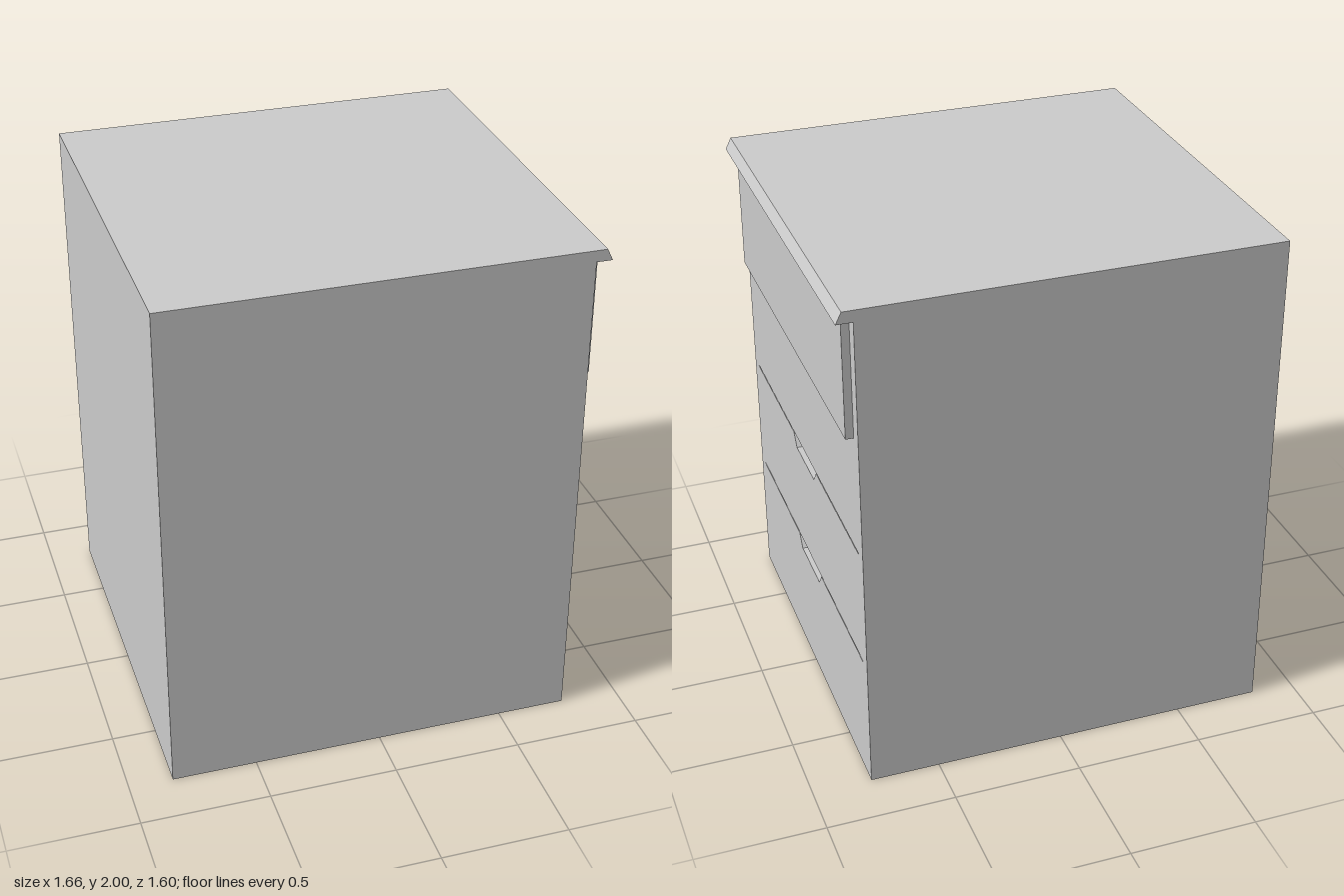
import * as THREE from 'three';

const FACE = 0.77, BACK = -0.83, HALF = 0.8, DRAWER = 0.745;
const POCKET = 0.12, GAP = 0.005, DROP = 0.055;
const drawerTops = [1.95, 1.475, 0.998, 0.521];
const grey = new THREE.MeshStandardMaterial({ color: 0xcccccc, flatShading: true });

function polygon(points) {
  return points.map(([a, b]) => new THREE.Vector2(a, b));
}

// Extrudes an upright outline (z across, y up) from x0 to x1
function panel(name, shape, x0, x1) {
  const geo = new THREE.ExtrudeGeometry(shape, { depth: x1 - x0, bevelEnabled: false });
  geo.rotateY(Math.PI / 2).translate(x0, 0, 0);
  const mesh = new THREE.Mesh(geo, grey);
  mesh.name = name;
  return mesh;
}

export function createModel() {
  const group = new THREE.Group();
  group.name = 'drawerCabinet';

  // Main carcass behind the drawer fronts
  const depth = FACE - POCKET - BACK;
  const carcass = new THREE.Mesh(new THREE.BoxGeometry(depth, 2, HALF * 2), grey);
  carcass.position.set(BACK + depth / 2, 1, 0);
  carcass.name = 'carcass';
  group.add(carcass);

  // Drawer face with a thin gap and a finger pull above each drawer
  const face = new THREE.Shape(polygon([[-HALF, 0], [HALF, 0], [HALF, 2], [-HALF, 2]]));
  for (const t of drawerTops) {
    face.holes.push(new THREE.Path(polygon([
      [-DRAWER, t], [-DRAWER, t + GAP], [DRAWER, t + GAP], [DRAWER, t],
      [0.165, t], [0.127, t - DROP + GAP], [-0.127, t - DROP + GAP], [-0.165, t],
    ])));
  }
  group.add(panel('drawerFace', face, FACE - POCKET, FACE));

  // Raised top drawer front with its cut-out pull
  const [top, next] = drawerTops;
  const front = new THREE.Shape(polygon([
    [-DRAWER, next + GAP], [DRAWER, next + GAP], [DRAWER, top], [0.165, top],
    [0.127, top - DROP + GAP], [-0.127, top - DROP + GAP], [-0.165, top], [-DRAWER, top],
  ]));
  group.add(panel('topDrawerFront', front, FACE, 0.8));

  // Bevelled lip of the worktop
  const lip = new THREE.Shape(polygon([[FACE, 1.955], [0.832, 1.955], [0.81, 2], [FACE, 2]]));
  const lipGeo = new THREE.ExtrudeGeometry(lip, { depth: HALF * 2, bevelEnabled: false });
  const lipMesh = new THREE.Mesh(lipGeo.translate(0, 0, -HALF), grey);
  lipMesh.name = 'worktopLip';
  group.add(lipMesh);

  return group;
}
